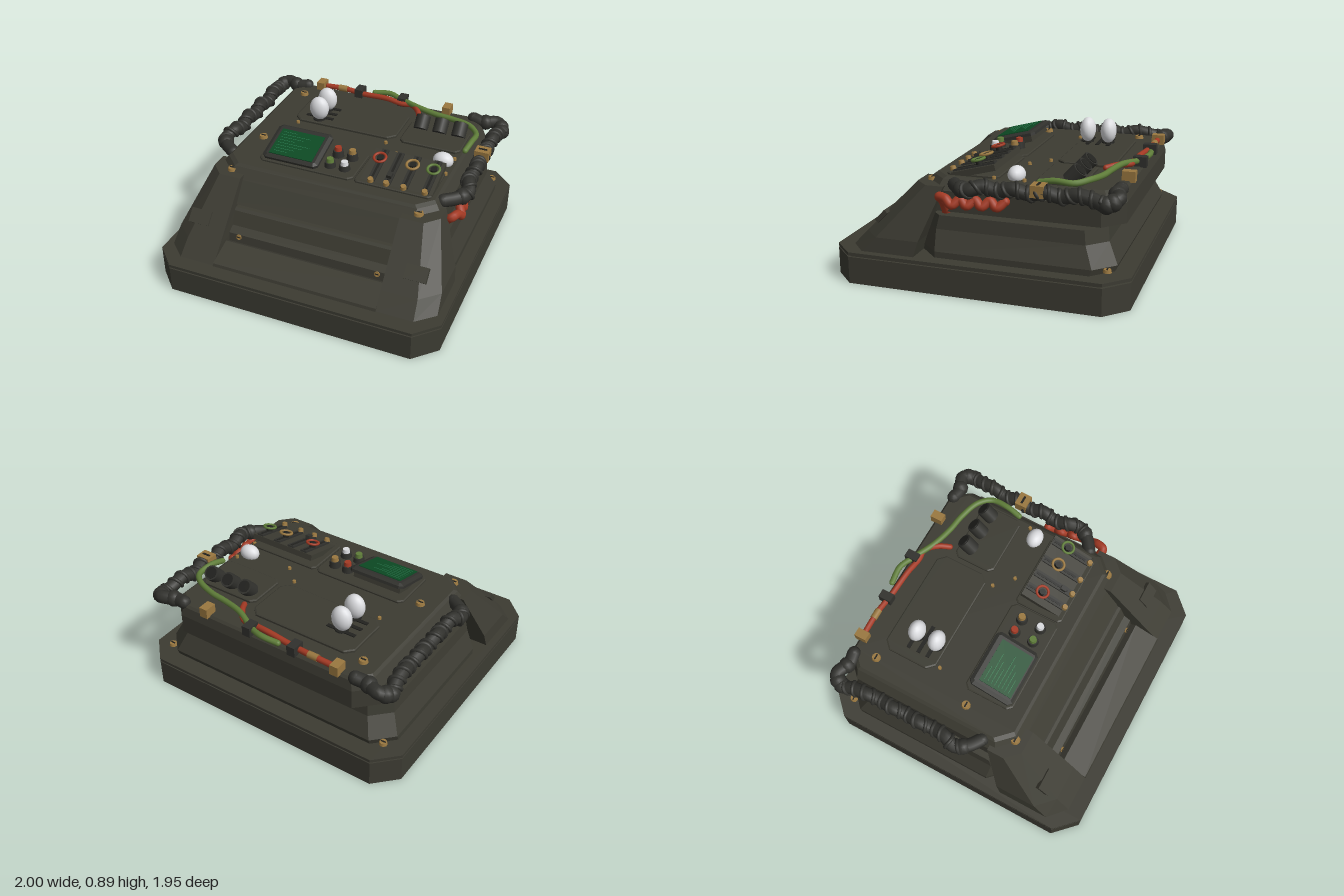
import * as THREE from 'three';

const mat = (name, color, side = THREE.FrontSide) => {
  const m = new THREE.MeshStandardMaterial({ color, side });
  m.name = name;
  return m;
};

export function createModel() {
  const M = {
    body: mat('olive metal', 0x3c3b32), hose: mat('dark rubber', 0x31312d),
    slot: mat('black recess', 0x22221f), brass: mat('brass', 0x9a7840),
    red: mat('red', 0xa43a24), green: mat('green', 0x5f7d39),
    screen: mat('screen green', 0x0c4a24), trace: mat('trace green', 0x2a8050),
    glass: mat('white glass', 0xdcdde0),
  };
  const root = new THREE.Group();
  root.name = 'controlConsole';

  const add = (name, geo, m, p = [0, 0, 0], parent = root) => {
    const mesh = new THREE.Mesh(geo, m);
    mesh.name = name;
    mesh.position.set(...p);
    parent.add(mesh);
    return mesh;
  };
  const box = (name, m, s, p, parent) => add(name, new THREE.BoxGeometry(...s), m, p, parent);
  const cyl = (name, m, r0, r1, h, p, parent, n = 12) =>
    add(name, new THREE.CylinderGeometry(r0, r1, h, n), m, p, parent);

  // Flat-shaded solid through stacked loops, counter-clockwise seen from above
  const loft = (loops) => {
    const v = [], n = loops[0].length, top = loops[loops.length - 1];
    const tri = (...q) => q.forEach((p) => v.push(...p));
    for (let k = 0; k + 1 < loops.length; k++)
      for (let i = 0; i < n; i++) {
        const a = loops[k], b = loops[k + 1], j = (i + 1) % n;
        tri(a[i], a[j], b[j]);
        tri(a[i], b[j], b[i]);
      }
    for (let i = 1; i + 1 < n; i++) {
      tri(loops[0][0], loops[0][i + 1], loops[0][i]);
      tri(top[0], top[i], top[i + 1]);
    }
    const g = new THREE.BufferGeometry();
    g.setAttribute('position', new THREE.Float32BufferAttribute(v, 3));
    g.computeVertexNormals();
    return g;
  };
  // Rectangle with cut corners at height y
  const oct = (y, x0, x1, z0, z1, c) => [
    [x0 + c, z0], [x0, z0 + c], [x0, z1 - c], [x0 + c, z1],
    [x1 - c, z1], [x1, z1 - c], [x1, z0 + c], [x1 - c, z0],
  ].map(([x, z]) => [x, y, z]);
  const plate = (name, y0, y1, x0, x1, z0, z1, c, m = M.body) =>
    add(name, loft([oct(y0, x0, x1, z0, z1, c),
      oct(y1 - 0.005, x0, x1, z0, z1, c),
      oct(y1, x0 + 0.007, x1 - 0.007, z0 + 0.007, z1 - 0.007, c)]), m);

  // Base tray with a fine seam below its lip
  add('base', loft([[0, 0], [0.18, 0], [0.181, 0.012], [0.188, 0.012], [0.189, 0], [0.21, 0]]
    .map(([y, d]) => oct(y, -1 + d, 1 - d, -0.977 + d, 0.977 - d, 0.145))), M.body);

  // Lower and upper housings, separated by a narrow gap
  add('lowerHousing', loft([
    oct(0.21, -0.91, 0.91, -0.86, 0.4, 0.13), oct(0.25, -0.91, 0.91, -0.875, 0.4, 0.13),
    oct(0.38, -0.85, 0.85, -0.81, 0.4, 0.12), oct(0.47, -0.84, 0.84, -0.8, 0.38, 0.12),
  ]), M.body);
  add('upperHousing', loft([
    oct(0.485, -0.8, 0.8, -0.9, 0.52, 0.13), oct(0.62, -0.8, 0.8, -0.9, 0.42, 0.13),
    oct(0.685, -0.755, 0.755, -0.885, 0.365, 0.1), oct(0.7, -0.735, 0.735, -0.87, 0.345, 0.1),
  ]), M.body);
  for (const x of [-0.37, 0.33]) for (const z of [-0.55, -0.25])
    box('spacer', M.slot, [0.08, 0.02, 0.08], [x, 0.478, z]);

  // Stepped front between the pillars
  const step = new THREE.Shape([[0.3, 0.2], [0.88, 0.2], [0.87, 0.23], [0.69, 0.295], [0.65, 0.27],
    [0.64, 0.33], [0.59, 0.36], [0.55, 0.455], [0.53, 0.47], [0.3, 0.47]]
    .map(([z, y]) => new THREE.Vector2(-z, y)).reverse());
  const stepGeo = new THREE.ExtrudeGeometry(step, { depth: 1.16, bevelEnabled: false });
  stepGeo.rotateY(Math.PI / 2).translate(-0.58, 0, 0);
  add('frontSteps', stepGeo, M.body);

  const bolt = (x, y, z, r, tilt = 0) => {
    const g = new THREE.Group();
    g.name = 'bolt';
    g.position.set(x, y, z);
    g.rotation.x = tilt;
    cyl('boltHead', M.brass, r * 0.85, r, 0.02, [0, 0.005, 0], g, 10);
    if (r > 0.02) box('boltSlot', M.slot, [r * 1.2, 0.004, r * 0.3], [0, 0.016, 0], g);
    root.add(g);
  };

  // Sloping front pillars
  for (const s of [-1, 1]) {
    const loop = (y, pts) => {
      const l = pts.map(([x, z]) => [s * x, y, z]);
      return s < 0 ? l.reverse() : l;
    };
    add('frontPillar', loft([
      loop(0.21, [[0.57, 0.4], [0.58, 0.87], [0.83, 0.87], [0.95, 0.76], [0.95, 0.4]]),
      loop(0.31, [[0.57, 0.37], [0.575, 0.775], [0.82, 0.775], [0.94, 0.66], [0.94, 0.37]]),
      loop(0.65, [[0.57, 0.24], [0.57, 0.45], [0.73, 0.45], [0.815, 0.36], [0.815, 0.24]]),
    ]), M.body);
    box('pillarPad', M.body, [0.15, 0.03, 0.1], [s * 0.77, 0.42, 0.665]).rotation.x = 0.8;
    bolt(s * 0.67, 0.655, 0.37, 0.035);
    bolt(s * 0.5, 0.31, 0.635, 0.022, 1.3);
    bolt(s * 0.86, 0.235, -0.83, 0.028);
  }

  // Raised panels on the deck
  plate('lampPanel', 0.7, 0.718, -0.54, 0.24, -0.715, -0.33, 0.05);
  plate('knobPanel', 0.7, 0.718, 0.275, 0.72, -0.63, -0.33, 0.03);
  plate('displayPanel', 0.7, 0.715, -0.53, 0.16, -0.095, 0.26, 0.03);
  plate('sliderPanel', 0.7, 0.715, 0.17, 0.71, -0.09, 0.26, 0.02);
  for (const z of [-0.71, -0.02]) bolt(-0.63, 0.705, z, 0.032);
  for (const [x, z] of [[0.2, -0.67], [-0.49, -0.3], [0.2, -0.28], [0.32, -0.17], [0.71, -0.26], [0.71, -0.06]])
    bolt(x, 0.702, z, 0.014);

  // Glass lamps and their slots
  for (const z of [-0.555, -0.48, -0.41]) box('lampSlot', M.slot, [0.21, 0.008, 0.026], [-0.365, 0.72, z]);
  for (const [x, y, z, h] of [[-0.36, 0.805, -0.54, 0.088], [-0.36, 0.805, -0.39, 0.088], [0.65, 0.725, -0.19, 0.057]]) {
    add('glassLamp', new THREE.SphereGeometry(1, 16, 12), M.glass, [x, y, z]).scale.set(0.072, h, 0.056);
    cyl('lampSocket', M.slot, 0.045, 0.05, 0.02, [x, 0.715, z]);
  }

  // Rear knobs leaning back
  for (const x of [0.37, 0.51, 0.65]) {
    const k = new THREE.Group();
    k.name = 'rearKnob';
    k.position.set(x, 0.755, -0.565);
    k.rotation.x = -0.75;
    cyl('knobBody', M.hose, 0.052, 0.052, 0.1, [0, 0, 0], k, 16);
    cyl('knobCap', M.slot, 0.04, 0.04, 0.006, [0, 0.051, 0], k, 16);
    root.add(k);
  }

  // Tilted display
  const tilted = (name, x, y, z) => {
    const g = new THREE.Group();
    g.name = name;
    g.position.set(x, y, z);
    g.rotation.x = 0.26;
    root.add(g);
    return g;
  };
  const d = tilted('display', -0.305, 0.768, 0.09);
  box('displayPlinth', M.body, [0.36, 0.06, 0.25], [0, -0.03, 0], d);
  add('displayFrame', loft([oct(-0.015, -0.205, 0.205, -0.16, 0.16, 0.025),
    oct(0.005, -0.205, 0.205, -0.16, 0.16, 0.025), oct(0.018, -0.18, 0.18, -0.14, 0.14, 0.01)]), M.hose, [0, 0, 0], d);
  box('displayScreen', M.screen, [0.32, 0.008, 0.24], [0, 0.019, 0.012], d);
  for (let i = 0; i < 8; i++) {
    const w = 0.1 + 0.16 * ((i * 5) % 7) / 7;
    box('screenTrace', M.trace, [w, 0.002, 0.003], [-0.14 + w / 2, 0.024, -0.08 + i * 0.026], d);
  }

  // Push buttons
  for (const [x, z, m] of [[-0.035, 0.02, M.red], [0.07, 0.02, M.brass], [-0.035, 0.16, M.green], [0.07, 0.16, M.glass]]) {
    const y = z < 0.1 ? 0.735 : 0.725;
    cyl('buttonCollar', M.hose, 0.036, 0.042, 0.05, [x, y, z], root, 14);
    cyl('buttonCap', m, 0.023, 0.028, 0.035, [x, y + 0.035, z], root, 14);
  }

  // Sliders with ring grips
  const sl = tilted('sliders', 0.46, 0.755, 0.085);
  box('sliderBed', M.body, [0.5, 0.04, 0.3], [0, -0.022, 0], sl);
  [[0.285, M.red], [0.395, null], [0.515, M.brass], [0.66, M.green]].forEach(([wx, m]) => {
    const x = wx - 0.46;
    box('sliderTrack', M.hose, [0.05, 0.02, 0.29], [x, 0, 0], sl);
    box('sliderGroove', M.slot, [0.016, 0.004, 0.25], [x, 0.011, -0.01], sl);
    cyl('sliderStop', M.brass, 0.018, 0.022, 0.025, [x, 0.018, 0.15], sl);
    if (m) {
      cyl('gripStem', M.slot, 0.022, 0.022, 0.04, [x, 0.025, -0.035], sl);
      add('gripRing', new THREE.TorusGeometry(0.041, 0.009, 8, 20).rotateX(Math.PI / 2), m, [x, 0.042, -0.035], sl);
    } else box('sliderGrip', M.hose, [0.035, 0.03, 0.04], [x, 0.02, 0.08], sl);
  });

  // Hoses and wires, closed with balls at both ends
  const path = (pts) => new THREE.CatmullRomCurve3(pts.map((p) => new THREE.Vector3(...p)));
  const tube = (name, m, curve, r, n = 60) => {
    add(name, new THREE.TubeGeometry(curve, n, r, 10), m);
    for (const t of [0, 1])
      add(name + 'End', new THREE.SphereGeometry(r, 10, 8), m, curve.getPoint(t).toArray());
  };
  const wrap = (curve, r, t0, t1, turns) => {
    const n = turns * 10, f = curve.computeFrenetFrames(n), pts = [];
    for (let i = 0; i <= n; i++) {
      const t = i / n, a = t * turns * 2 * Math.PI;
      if (t < t0 || t > t1) continue;
      pts.push(curve.getPointAt(t).addScaledVector(f.normals[i], r * Math.cos(a))
        .addScaledVector(f.binormals[i], r * Math.sin(a)));
    }
    tube('hoseWrap', M.hose, new THREE.CatmullRomCurve3(pts), 0.013, pts.length * 2);
  };
  for (const s of [-1, 1]) {
    const pts = [[0.67, 0.7, -0.86], [0.74, 0.69, -0.85], [0.85, 0.69, -0.885], [0.895, 0.66, -0.82], [0.88, 0.68, -0.74]];
    for (let i = 0; i < 7; i++)
      pts.push([0.868 + 0.006 * (-1) ** i, 0.685 + 0.012 * (-1) ** i, -0.64 + i * 0.1]);
    pts.push([0.9, 0.67, 0.04], [0.85, 0.665, 0.12], [0.77, 0.66, 0.18]);
    const c = path(pts.map(([x, y, z]) => [s * x, y, z]));
    tube('sideHose', M.hose, c, 0.045, 100);
    wrap(c, 0.043, 0.22, 0.9, 20);
    for (const t of [0.07, 0.17, 0.2, 0.9])
      add('hoseJoint', new THREE.SphereGeometry(0.056, 12, 8), M.hose, c.getPointAt(t).toArray());
  }

  const coil = [[0.77, 0.48, 0.24], [0.82, 0.56, 0.24], [0.86, 0.6, 0.25]];
  for (let i = 0; i < 9; i++)
    coil.push([0.88 - 0.006 * i + 0.02 * (i % 2), 0.58 + 0.018 * (-1) ** i, 0.2 - i * 0.047]);
  tube('redSideCable', M.red, path(coil), 0.03, 80);
  tube('redRearWire', M.red, path([[-0.5, 0.725, -0.865], [-0.35, 0.73, -0.865], [-0.2, 0.725, -0.85], [0, 0.735, -0.835],
    [0.12, 0.725, -0.82], [0.2, 0.73, -0.82], [0.27, 0.735, -0.75], [0.31, 0.72, -0.68]]), 0.02);
  tube('greenWire', M.green, path([[-0.12, 0.735, -0.89], [0, 0.745, -0.9], [0.1, 0.735, -0.865], [0.27, 0.745, -0.78],
    [0.42, 0.74, -0.74], [0.55, 0.74, -0.72], [0.69, 0.745, -0.67], [0.765, 0.735, -0.59], [0.765, 0.74, -0.47], [0.75, 0.72, -0.37]]), 0.02);
  cyl('wireCollar', M.brass, 0.024, 0.024, 0.07, [-0.37, 0.73, -0.865]).rotation.z = Math.PI / 2;

  // Cable clips
  for (const x of [-0.545, 0.465]) box('brassClip', M.brass, [0.06, 0.07, 0.085], [x, 0.725, -0.865]);
  for (const x of [-0.23, 0.115]) box('darkClip', M.hose, [0.06, 0.07, 0.09], [x, 0.73, -0.865]);
  box('hoseClip', M.brass, [0.1, 0.075, 0.085], [0.868, 0.705, -0.4]);
  box('hoseClipSlot', M.slot, [0.06, 0.004, 0.015], [0.868, 0.744, -0.4]);

  return root;
}
